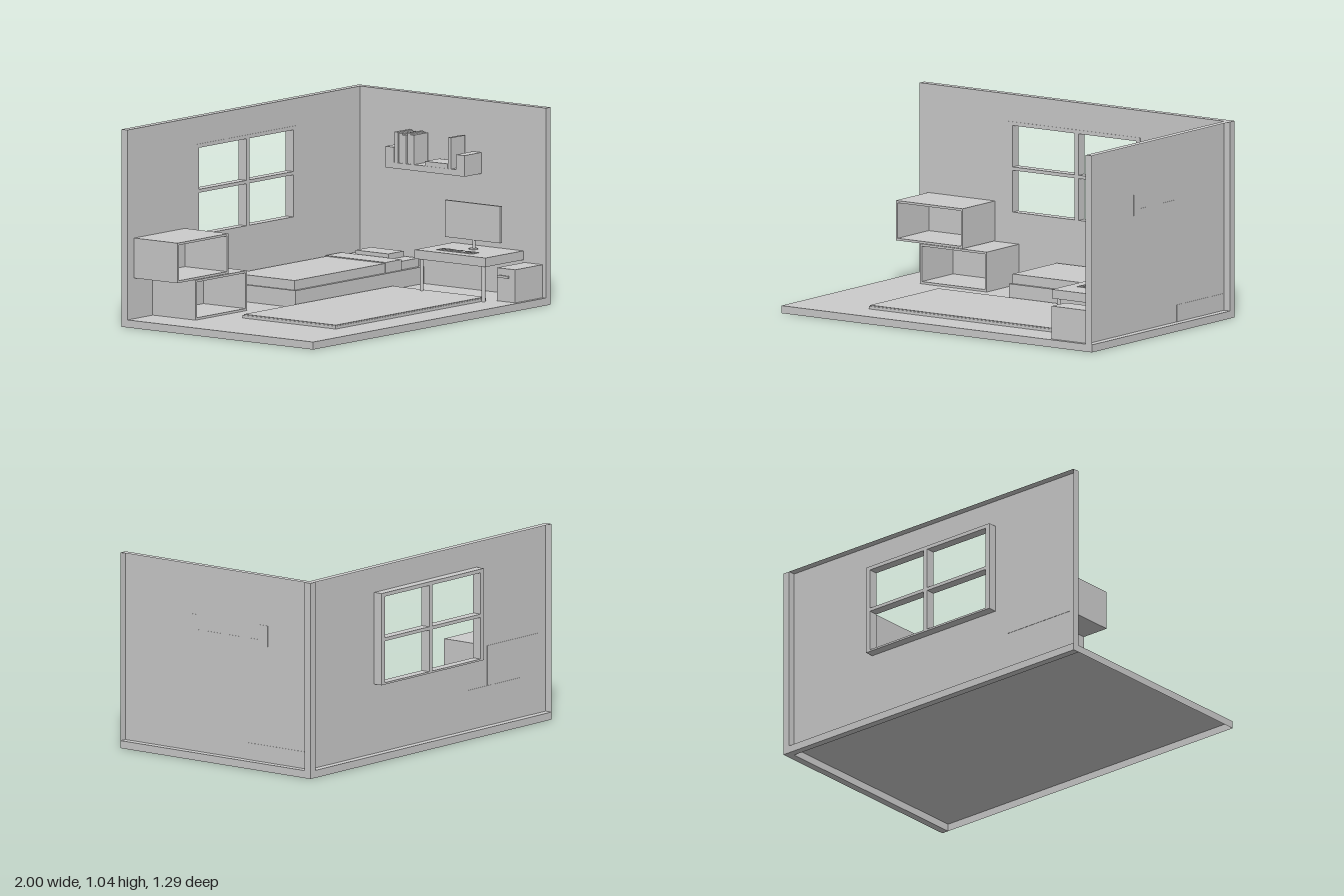
import * as THREE from 'three';

const solid = new THREE.MeshStandardMaterial({ color: 0xcccccc });
const open = new THREE.MeshStandardMaterial({ color: 0xcccccc, side: THREE.DoubleSide });

export function createModel() {
  const room = new THREE.Group();
  room.name = 'bedroom';

  const group = (name, parent = room) => {
    const g = new THREE.Group();
    g.name = name;
    parent.add(g);
    return g;
  };
  const add = (parent, name, geometry, material = solid) => {
    const mesh = new THREE.Mesh(geometry, material);
    mesh.name = name;
    parent.add(mesh);
    return mesh;
  };
  // Box given by its limits on each axis
  const box = (parent, name, [x0, x1], [y0, y1], [z0, z1]) => {
    const geometry = new THREE.BoxGeometry(x1 - x0, y1 - y0, z1 - z0);
    geometry.translate((x0 + x1) / 2, (y0 + y1) / 2, (z0 + z1) / 2);
    return add(parent, name, geometry);
  };
  const cylinder = (parent, name, radius, [y0, y1], x, z) => {
    const geometry = new THREE.CylinderGeometry(radius, radius, y1 - y0, 20);
    geometry.translate(x, (y0 + y1) / 2, z);
    return add(parent, name, geometry);
  };
  const rectangle = (Type, [x0, x1], [y0, y1]) => {
    const path = new Type();
    path.moveTo(x0, y0).lineTo(x1, y0).lineTo(x1, y1).lineTo(x0, y1).closePath();
    return path;
  };
  // Rectangle facing +z with rectangular openings
  const pierced = (x, y, openings) => {
    const shape = rectangle(THREE.Shape, x, y);
    for (const [ox, oy] of openings) shape.holes.push(rectangle(THREE.Path, ox, oy));
    return shape;
  };
  const panel = (parent, name, x, y, [z0, z1], openings) => {
    const geometry = new THREE.ExtrudeGeometry(pierced(x, y, openings), { depth: z1 - z0, bevelEnabled: false });
    geometry.translate(0, 0, z0);
    return add(parent, name, geometry);
  };
  // Room face with a rim folded backwards all round, hollow on the outside
  const hollowPanel = (parent, name, w, h, openings = []) => {
    const depth = 0.04;
    const g = group(name, parent);
    add(g, name + 'Face', new THREE.ShapeGeometry(pierced([-w / 2, w / 2], [-h / 2, h / 2], openings)), open);
    for (const s of [-1, 1]) {
      const across = new THREE.PlaneGeometry(w, depth).rotateX(-s * Math.PI / 2);
      add(g, name + 'Rim', across.translate(0, s * h / 2, -depth / 2), open);
      const upright = new THREE.PlaneGeometry(depth, h).rotateY(s * Math.PI / 2);
      add(g, name + 'Rim', upright.translate(s * w / 2, 0, -depth / 2), open);
    }
    return g;
  };

  // Floor and walls
  const shell = group('roomShell');
  const floor = hollowPanel(shell, 'floor', 2, 1.28);
  floor.rotation.x = -Math.PI / 2;
  floor.position.set(0, 0.04, 0.005);
  const sideWall = hollowPanel(shell, 'sideWall', 1.28, 1.045);
  sideWall.rotation.y = -Math.PI / 2;
  sideWall.position.set(0.96, 0.5225, 0.005);
  const backWall = hollowPanel(shell, 'backWall', 2, 1.045, [[[-0.41, 0.405], [-0.1075, 0.3675]]]);
  backWall.position.set(0, 0.5225, -0.595);

  // Four-pane window frame
  panel(group('window'), 'windowFrame', [-0.428, 0.422], [0.41, 0.9], [-0.645, -0.593], [
    [[-0.4, 0], [0.42, 0.642]], [[0.026, 0.395], [0.42, 0.642]],
    [[-0.4, 0], [0.66, 0.88]], [[0.026, 0.395], [0.66, 0.88]],
  ]);

  // Two stacked open cube shelves
  const shelves = group('cubeShelves');
  for (const [name, x, y] of [['lowerCube', -0.79, 0.041], ['upperCube', -0.945, 0.255]]) {
    const t = 0.012, w = 0.43, h = 0.212;
    panel(shelves, name, [x, x + w], [y, y + h], [-0.597, -0.305], [[[x + t, x + w - t], [y + t, y + h - t]]]);
    box(shelves, name + 'Back', [x + t, x + w - t], [y + t, y + h - t], [-0.597, -0.585]);
  }

  // Rug
  const rug = group('rug');
  box(rug, 'rugBase', [-0.572, 0.692], [0.04, 0.055], [-0.165, 0.457]);
  box(rug, 'rugTop', [-0.567, 0.687], [0.055, 0.06], [-0.16, 0.452]);

  // Bed
  const bed = group('bed');
  box(bed, 'bedBase', [-0.12, 0.962], [0.04, 0.13], [-0.595, -0.17]);
  box(bed, 'mattress', [-0.105, 0.945], [0.13, 0.175], [-0.578, -0.19]);
  box(bed, 'blanket', [-0.108, 0.66], [0.13, 0.181], [-0.582, -0.186]);
  box(bed, 'blanketFold', [0.655, 0.79], [0.13, 0.186], [-0.584, -0.184]);
  box(bed, 'pillow', [0.8, 0.93], [0.17, 0.205], [-0.5, -0.28]);

  // Desk fixed to the side wall, on two front legs
  const desk = group('desk');
  box(desk, 'deskTop', [0.637, 0.958], [0.228, 0.276], [0.025, 0.497]);
  for (const z of [0.055, 0.467]) cylinder(desk, 'deskLeg', 0.01, [0.04, 0.228], 0.659, z);

  // Cabinet beside the desk
  const cabinet = group('cabinet');
  box(cabinet, 'cabinetBody', [0.727, 0.958], [0.04, 0.215], [0.502, 0.625]);
  box(cabinet, 'cabinetHandle', [0.717, 0.73], [0.165, 0.178], [0.512, 0.585]);

  // Monitor
  const monitor = group('monitor');
  cylinder(monitor, 'monitorBase', 0.025, [0.276, 0.281], 0.842, 0.255);
  cylinder(monitor, 'monitorNeck', 0.008, [0.281, 0.35], 0.846, 0.255);
  box(monitor, 'screen', [0.834, 0.849], [0.325, 0.52], [0.07, 0.44]);

  // Keyboard with three blocks of keys
  const keyboard = group('keyboard');
  box(keyboard, 'keyboardBody', [0.7, 0.755], [0.276, 0.279], [0.12, 0.36]);
  for (const [start, columns] of [[0.135, 5], [0.238, 2], [0.302, 3]])
    for (let column = 0; column < columns; column++)
      for (let row = 0; row < 4; row++) {
        const x = 0.709 + row * 0.01, z = start + column * 0.017;
        box(keyboard, 'key', [x, x + 0.007], [0.279, 0.282], [z, z + 0.013]);
      }

  // Wall shelf with raised ends
  const wallShelf = group('wallShelf');
  box(wallShelf, 'shelfBoard', [0.818, 0.961], [0.658, 0.69], [-0.315, 0.215]);
  for (const z of [[-0.315, -0.258], [0.158, 0.215]])
    box(wallShelf, 'shelfEnd', [0.818, 0.961], [0.69, 0.77], z);

  // Books: an upright row, one lying flat and one standing at the end
  const books = group('books');
  for (let i = 0; i < 5; i++) {
    const z = -0.255 + i * 0.027;
    box(books, 'book', [0.82 + (i % 2) * 0.006, 0.937], [0.69, 0.852 - (i % 3) * 0.006], [z, z + 0.023]);
  }
  box(books, 'flatBook', [0.82, 0.937], [0.69, 0.715], [-0.05, 0.1]);
  box(books, 'standingBook', [0.82, 0.937], [0.69, 0.855], [0.102, 0.122]);

  return room;
}
